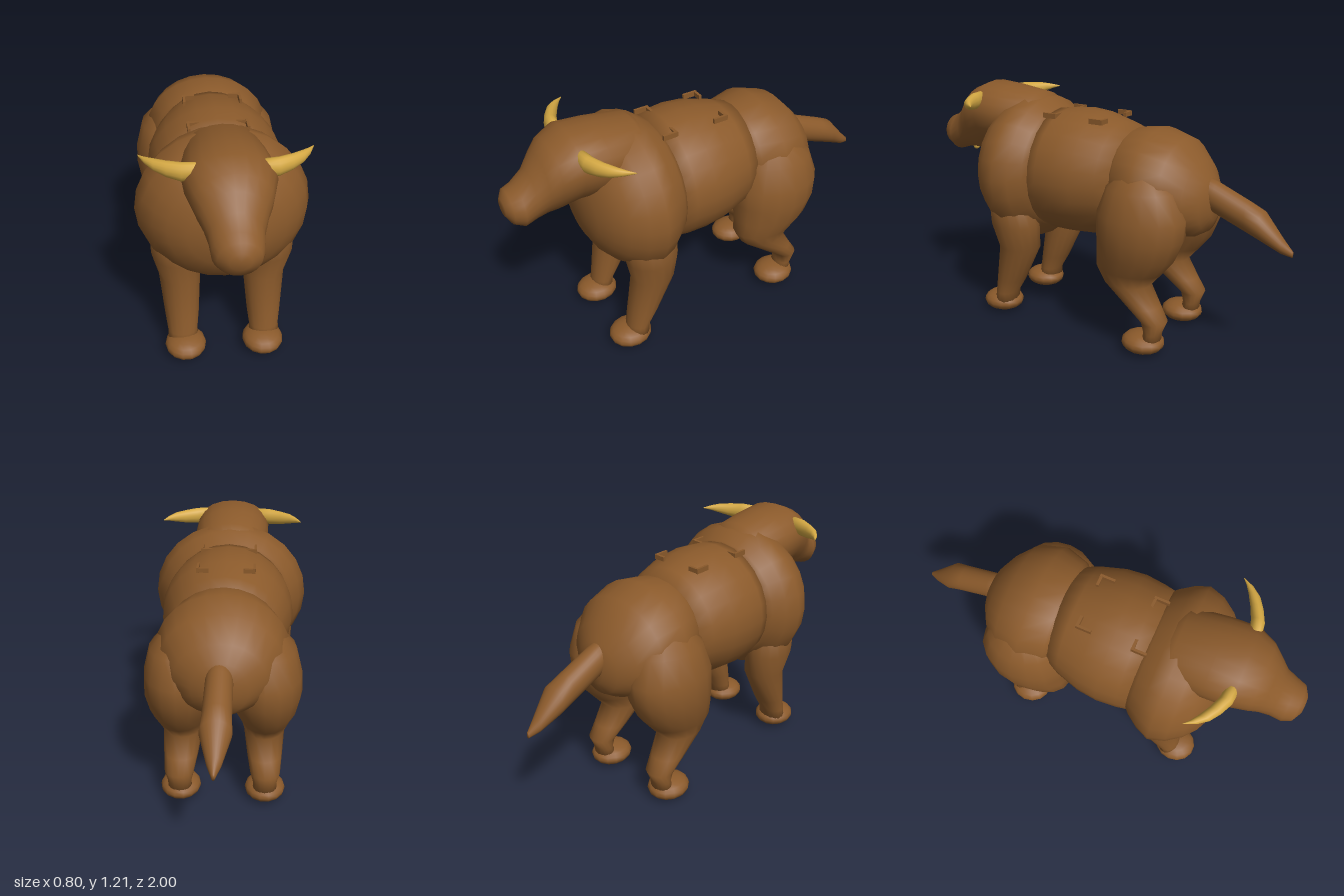
import * as THREE from 'three';

const hide = new THREE.MeshStandardMaterial({ color: 0x8b5a2b });
hide.name = 'brown hide';
const horn = new THREE.MeshStandardMaterial({ color: 0xd4a843 });
horn.name = 'golden horn';

// Smooth skin over elliptical rings stacked along an axis (0 = x, 1 = y, 2 = z).
// Ring: centre [x, y, z], radii along the next two axes, taper of width with height.
function loft(axis, rings, sides = 20) {
  const u = (axis + 1) % 3, v = (axis + 2) % 3;
  const sorted = [...rings].sort((a, b) => a.c[axis] - b.c[axis]);
  const pos = [], idx = [];
  for (const { c, ru, rv, taper = 0 } of sorted) {
    for (let i = 0; i < sides; i++) {
      const a = (i / sides) * Math.PI * 2;
      const p = [...c];
      p[u] += Math.cos(a) * ru * (1 + taper * Math.sin(a));
      p[v] += Math.sin(a) * rv;
      pos.push(...p);
    }
  }
  for (let r = 0; r < sorted.length - 1; r++) {
    for (let i = 0; i < sides; i++) {
      const a = r * sides + i, b = r * sides + (i + 1) % sides;
      idx.push(a, b, a + sides, b, b + sides, a + sides);
    }
  }
  // End caps
  const first = pos.length / 3, last = first + 1, top = (sorted.length - 1) * sides;
  pos.push(...sorted[0].c, ...sorted[sorted.length - 1].c);
  for (let i = 0; i < sides; i++) {
    const j = (i + 1) % sides;
    idx.push(first, j, i, last, top + i, top + j);
  }
  const g = new THREE.BufferGeometry();
  g.setAttribute('position', new THREE.Float32BufferAttribute(pos, 3));
  g.setIndex(idx);
  g.computeVertexNormals();
  return g;
}

// Rows for the trunk: z, y, half width, half height, taper
const alongZ = (rows) => loft(2, rows.map(([z, y, ru, rv, taper]) => ({ c: [0, y, z], ru, rv, taper })), 24);
// Rows for limbs: y, x, z, half width, half depth
const alongY = (rows, s) => loft(1, rows.map(([y, x, z, rx, rz]) => ({ c: [s * x, y, z], ru: rz, rv: rx })), 16);

export function createModel() {
  const model = new THREE.Group();
  model.name = 'hornedBeast';
  const add = (name, geometry, material = hide, parent = model) => {
    const mesh = new THREE.Mesh(geometry, material);
    mesh.name = name;
    parent.add(mesh);
    return mesh;
  };

  // Trunk in three overlapping masses
  add('chest', alongZ([
    [0.22, 0.81, 0.28, 0.28], [0.27, 0.80, 0.33, 0.31], [0.33, 0.79, 0.37, 0.365],
    [0.40, 0.79, 0.40, 0.38], [0.48, 0.79, 0.375, 0.355], [0.55, 0.79, 0.325, 0.305],
    [0.60, 0.79, 0.265, 0.25], [0.64, 0.78, 0.18, 0.16], [0.655, 0.78, 0.08, 0.07],
  ]));
  add('belly', alongZ([
    [-0.22, 0.80, 0.24, 0.25], [-0.12, 0.805, 0.285, 0.275], [0, 0.805, 0.32, 0.308],
    [0.1, 0.805, 0.33, 0.317], [0.2, 0.80, 0.32, 0.315], [0.3, 0.80, 0.30, 0.30],
  ]));
  add('rump', alongZ([
    [-0.09, 0.84, 0.11, 0.13], [-0.14, 0.835, 0.2, 0.2], [-0.2, 0.82, 0.27, 0.24],
    [-0.32, 0.815, 0.31, 0.26], [-0.45, 0.80, 0.28, 0.235], [-0.54, 0.76, 0.21, 0.18],
    [-0.59, 0.74, 0.13, 0.13], [-0.615, 0.74, 0.06, 0.07],
  ]));

  // Neck running into skull and muzzle
  add('head', alongZ([
    [0.27, 1.0, 0.12, 0.10], [0.37, 1.02, 0.18, 0.16, 0.1], [0.55, 1.03, 0.195, 0.173, 0.15],
    [0.68, 1.035, 0.19, 0.177, 0.25], [0.77, 1.005, 0.16, 0.17, 0.25], [0.82, 0.98, 0.135, 0.145, 0.15],
    [0.87, 0.945, 0.115, 0.115], [0.93, 0.91, 0.108, 0.1], [0.975, 0.915, 0.09, 0.08], [1.0, 0.92, 0.045, 0.04],
  ]));
  const stud = add('chinStud', new THREE.SphereGeometry(0.018, 12, 8), horn);
  stud.position.set(0, 0.832, 0.84);

  // Tail
  add('tail', alongZ([
    [-0.52, 0.82, 0.06, 0.07], [-0.62, 0.78, 0.062, 0.075], [-0.78, 0.715, 0.065, 0.072],
    [-0.85, 0.685, 0.07, 0.068], [-0.95, 0.605, 0.032, 0.035], [-1.0, 0.575, 0.008, 0.015],
  ]));

  for (const s of [1, -1]) {
    const side = s > 0 ? 'left' : 'right';

    // Swept-back horn
    add(side + 'Horn', loft(0, [
      [0.14, 1.135, 0.668, 0.038, 0.03], [0.2, 1.13, 0.66, 0.042, 0.032], [0.26, 1.132, 0.633, 0.035, 0.031],
      [0.31, 1.137, 0.602, 0.025, 0.028], [0.345, 1.14, 0.568, 0.013, 0.018], [0.37, 1.141, 0.53, 0.002, 0.002],
    ].map(([x, y, z, ru, rv]) => ({ c: [s * x, y, z], ru, rv })), 14), horn);

    // Front leg
    const front = new THREE.Group();
    front.name = side + 'FrontLeg';
    model.add(front);
    add('frontLimb', alongY([
      [0.05, 0.2, 0.495, 0.075, 0.06], [0.12, 0.2, 0.485, 0.072, 0.056], [0.2, 0.2, 0.455, 0.082, 0.075],
      [0.4, 0.203, 0.39, 0.1, 0.11], [0.53, 0.22, 0.4, 0.115, 0.13], [0.7, 0.22, 0.41, 0.12, 0.13],
    ], s), hide, front);

    // Hind leg with heavy thigh and bent hock
    const hind = new THREE.Group();
    hind.name = side + 'HindLeg';
    model.add(hind);
    add('hindLimb', alongY([
      [0.06, 0.21, -0.4, 0.06, 0.05], [0.12, 0.21, -0.415, 0.058, 0.042], [0.18, 0.21, -0.42, 0.072, 0.062],
      [0.25, 0.205, -0.355, 0.085, 0.085], [0.35, 0.2, -0.265, 0.1, 0.12], [0.42, 0.205, -0.275, 0.12, 0.17],
      [0.5, 0.205, -0.31, 0.15, 0.2], [0.6, 0.2, -0.33, 0.175, 0.22], [0.7, 0.2, -0.335, 0.172, 0.225],
      [0.83, 0.195, -0.335, 0.145, 0.18], [0.92, 0.18, -0.33, 0.08, 0.1],
    ], s), hide, hind);

    // Paws
    for (const [leg, x, z] of [[front, 0.19, 0.525], [hind, 0.21, -0.36]]) {
      const paw = add('paw', new THREE.SphereGeometry(1, 14, 10), hide, leg);
      paw.scale.set(0.1, 0.054, 0.108);
      paw.position.set(s * x, 0.056, z);
    }

    // Small L-shaped ridges on the back
    for (const [z, dir] of [[-0.07, 1], [0.2, 1]]) {
      const ridge = new THREE.Group();
      ridge.name = side + 'BackRidge';
      ridge.position.set(s * 0.135, 1.092, z);
      model.add(ridge);
      add('ridgeLong', new THREE.BoxGeometry(0.012, 0.025, 0.075), hide, ridge).position.z = dir * 0.03;
      add('ridgeShort', new THREE.BoxGeometry(0.055, 0.022, 0.014), hide, ridge).position.x = -s * 0.025;
    }
  }
  return model;
}
